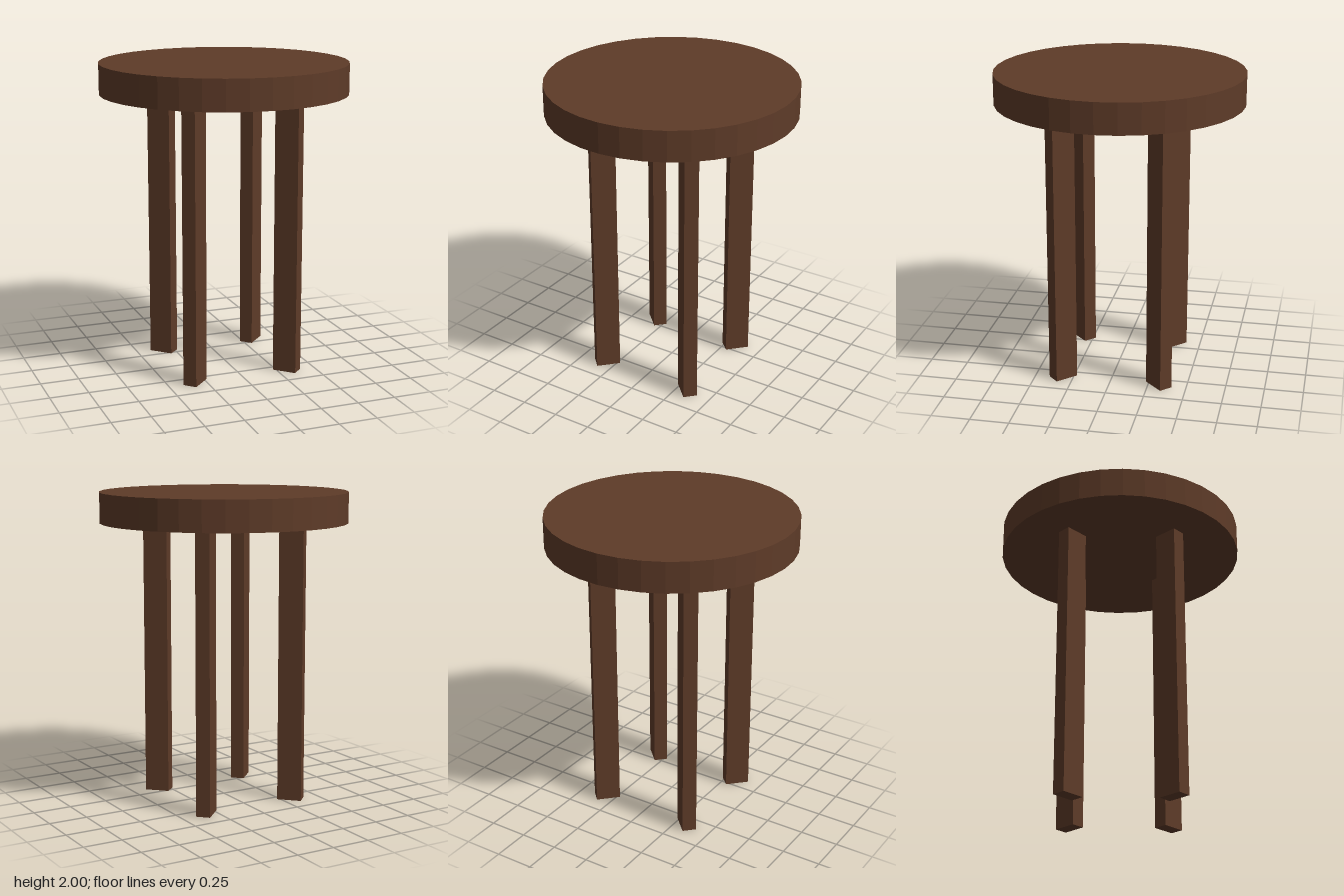
import * as THREE from 'three';

const WOOD = new THREE.MeshStandardMaterial({ color: 0x5e3b28, flatShading: true });
const HEIGHT = 2, SEAT_THICKNESS = 0.195, SEAT_RADIUS = 0.795;
const LEG_RADIAL = 0.157, LEG_TANGENT = 0.09, LEG_DISTANCE = 0.45;

export function createModel() {
  const stool = new THREE.Group();
  stool.name = 'stool';

  // Round faceted seat
  const seat = new THREE.Mesh(
    new THREE.CylinderGeometry(SEAT_RADIUS, SEAT_RADIUS, SEAT_THICKNESS, 36), WOOD);
  seat.name = 'seat';
  seat.position.y = HEIGHT - SEAT_THICKNESS / 2;
  stool.add(seat);

  // Four plank legs on the diagonals, long side pointing at the centre
  const legHeight = HEIGHT - SEAT_THICKNESS;
  const legGeometry = new THREE.BoxGeometry(LEG_RADIAL, legHeight, LEG_TANGENT);
  legGeometry.translate(LEG_DISTANCE, legHeight / 2, 0);
  ['backLeftLeg', 'backRightLeg', 'frontRightLeg', 'frontLeftLeg'].forEach((name, i) => {
    const leg = new THREE.Mesh(legGeometry, WOOD);
    leg.name = name;
    leg.rotation.y = Math.PI / 4 + i * Math.PI / 2;
    stool.add(leg);
  });

  return stool;
}
